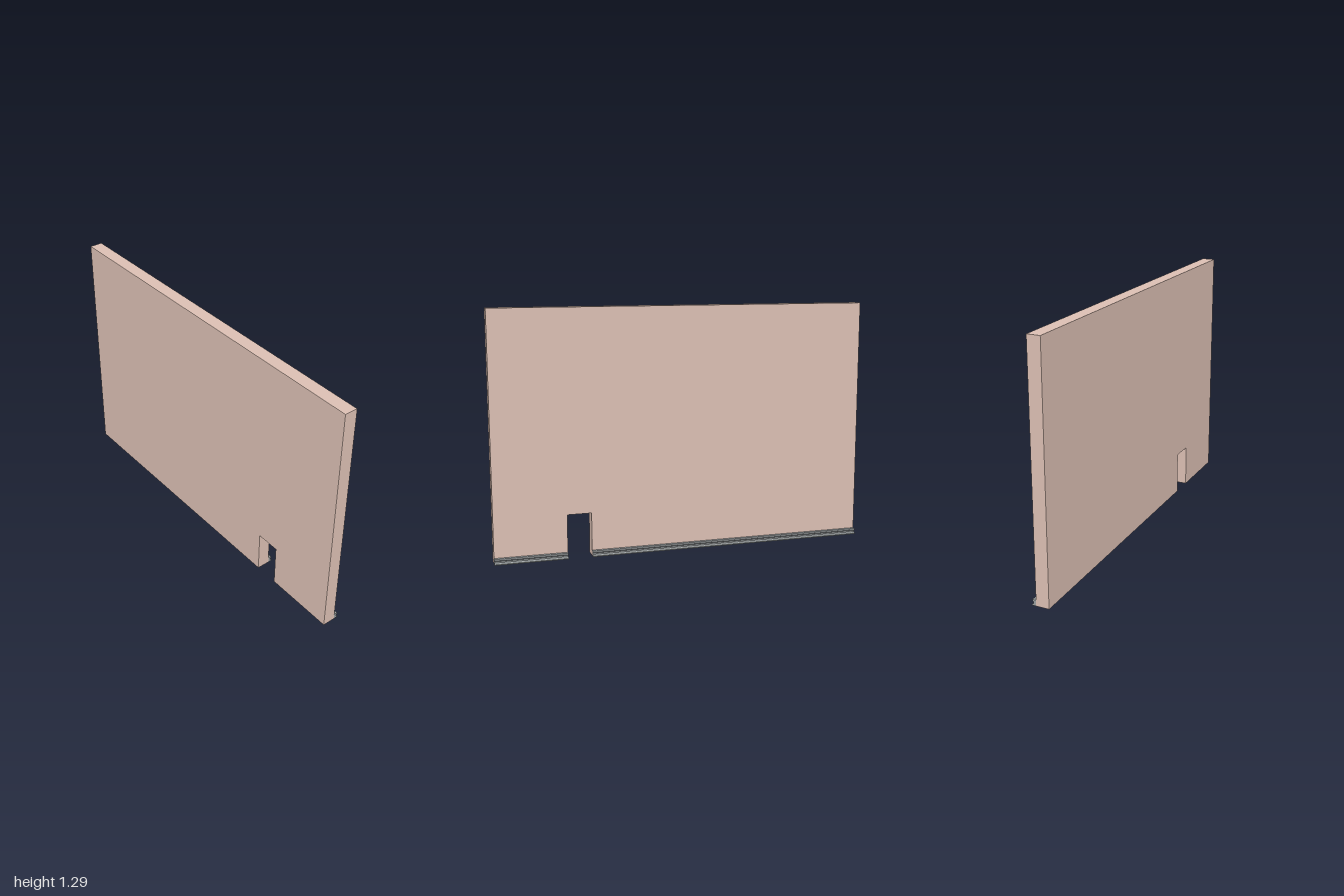
import * as THREE from 'three';

const HEIGHT = 1.29, HALF = 1;
const BACK = -0.046, FACE = 0.0225;                   // wall faces along x
const DOOR = { near: 0.622, far: 0.495, top: 0.23 };  // opening along z

const shapeFrom = (pts) => new THREE.Shape(pts.map(([x, y]) => new THREE.Vector2(x, y)));

export function createModel() {
  const group = new THREE.Group();
  const wallMat = new THREE.MeshStandardMaterial({ color: 0xdbbfb3 });
  const trimMat = new THREE.MeshStandardMaterial({ color: 0x9a9fa0 });

  // Wall outline in (z, y) with the doorway cut from the bottom edge
  const outline = shapeFrom([
    [-HALF, 0], [DOOR.far, 0], [DOOR.far, DOOR.top], [DOOR.near, DOOR.top],
    [DOOR.near, 0], [HALF, 0], [HALF, HEIGHT], [-HALF, HEIGHT],
  ]);
  const wallGeo = new THREE.ExtrudeGeometry(outline, { depth: FACE - BACK, bevelEnabled: false });
  wallGeo.rotateY(-Math.PI / 2).translate(FACE, 0, 0);
  const wall = new THREE.Mesh(wallGeo, wallMat);
  wall.name = 'wall';
  group.add(wall);

  // Grooved baseboard profile in (x, y), run along each side of the doorway
  const profile = shapeFrom([
    [FACE, 0], [0.045, 0], [0.045, 0.005], [0.036, 0.011],
    [0.036, 0.018], [0.041, 0.023], [0.041, 0.031], [FACE, 0.031],
  ]);
  const runs = [['longBaseboard', -HALF, DOOR.far], ['shortBaseboard', DOOR.near, HALF]];
  for (const [name, start, end] of runs) {
    const geo = new THREE.ExtrudeGeometry(profile, { depth: end - start, bevelEnabled: false });
    const board = new THREE.Mesh(geo, trimMat);
    board.position.z = start;
    board.name = name;
    group.add(board);
  }
  return group;
}
